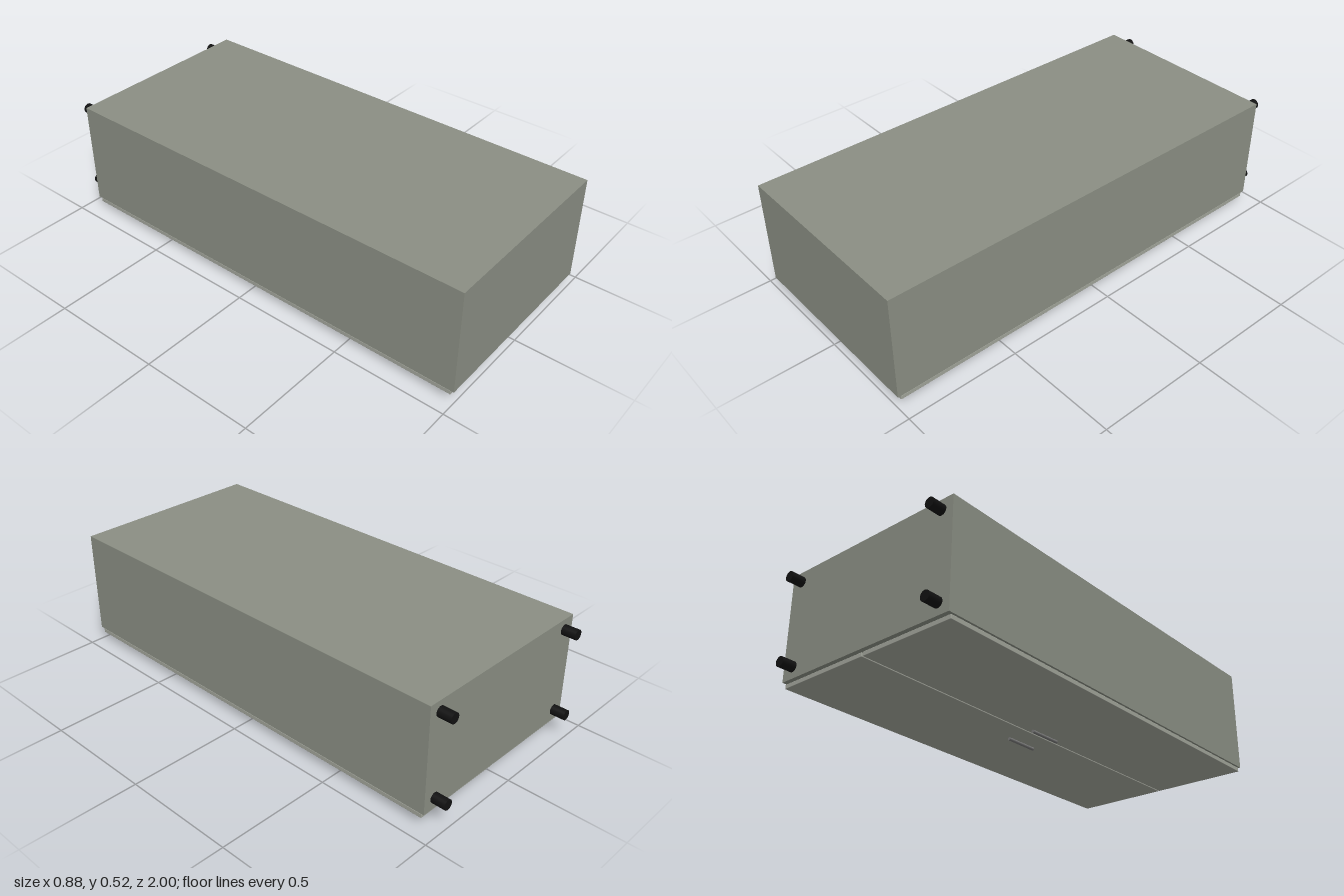
import * as THREE from 'three';
import { RoundedBoxGeometry } from 'three/addons/geometries/RoundedBoxGeometry.js';

export function createModel() {
  const group = new THREE.Group();
  const bodyMat = new THREE.MeshStandardMaterial({ color: 0x8a8e83 });
  const doorMat = new THREE.MeshStandardMaterial({ color: 0xa0a399 });
  const handleMat = new THREE.MeshStandardMaterial({ color: 0x777777 });
  const footMat = new THREE.MeshStandardMaterial({ color: 0x111111 });

  const add = (name, geometry, material, x, y, z) => {
    const mesh = new THREE.Mesh(geometry, material);
    mesh.name = name;
    mesh.position.set(x, y, z);
    group.add(mesh);
    return mesh;
  };

  // Cabinet lying on its front: height runs along z, doors face down
  add('cabinetBody', new THREE.BoxGeometry(0.876, 0.466, 1.938), bodyMat, 0, 0.292, 0.031);

  const doorGeo = new RoundedBoxGeometry(0.432, 0.019, 1.91, 2, 0.002);
  const handleGeo = new THREE.CylinderGeometry(0.007, 0.007, 0.156, 16).rotateX(Math.PI / 2);
  const footGeo = new THREE.CylinderGeometry(0.022, 0.022, 0.062, 24).rotateX(Math.PI / 2);

  for (const [side, s] of [['left', 1], ['right', -1]]) {
    // Door and its free-standing bar handle
    add(side + 'Door', doorGeo, doorMat, s * 0.219, 0.0455, 0.03);
    add(side + 'Handle', handleGeo, handleMat, s * 0.064, 0.007, 0.022);

    // Round feet on the cabinet base
    add(side + 'UpperFoot', footGeo, footMat, s * 0.383, 0.479, -0.969);
    add(side + 'LowerFoot', footGeo, footMat, s * 0.383, 0.109, -0.969);
  }
  return group;
}
